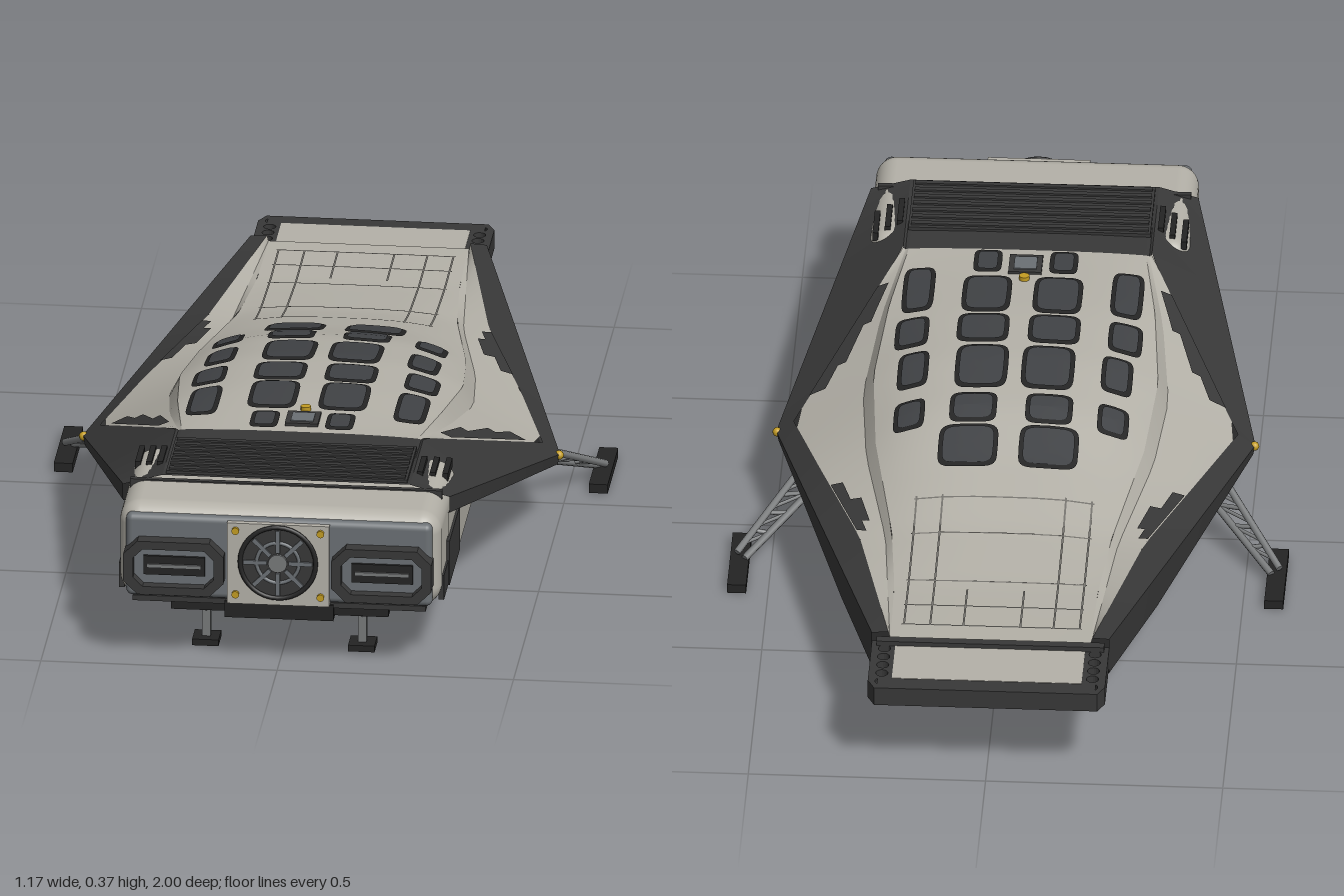
import * as THREE from 'three';
import { RoundedBoxGeometry } from 'three/addons/geometries/RoundedBoxGeometry.js';

const M = (name, color, side = THREE.FrontSide) => {
  const m = new THREE.MeshStandardMaterial({ color, side });
  m.name = name;
  return m;
};
const V = (x, y, z) => new THREE.Vector3(x, y, z);

// A rail is a line along the hull, given by a few [z, x, y] knots from front to rear
const rail = (...k) => (z) => {
  let i = 0;
  while (i < k.length - 2 && z < k[i + 1][0]) i++;
  const [a, b] = [k[i], k[i + 1]];
  const t = (z - a[0]) / (b[0] - a[0]);
  return [a[1] + (b[1] - a[1]) * t, a[2] + (b[2] - a[2]) * t];
};
const crown = rail([0.82, 0, 0.36], [0.5, 0, 0.361], [0.3, 0, 0.366], [0.12, 0, 0.361], [-0.05, 0, 0.34], [-0.2, 0, 0.298], [-0.4, 0, 0.255], [-0.6, 0, 0.236], [-0.82, 0, 0.238]);
const shoulder = rail([0.82, 0.25, 0.36], [0.55, 0.25, 0.356], [0.35, 0.28, 0.338], [0.12, 0.3, 0.305], [-0.1, 0.283, 0.272], [-0.4, 0.232, 0.24], [-0.6, 0.215, 0.234], [-0.82, 0.21, 0.238]);
const foot = rail([0.82, 0.257, 0.36], [0.55, 0.257, 0.354], [0.35, 0.297, 0.31], [0.12, 0.322, 0.262], [-0.1, 0.303, 0.24], [-0.4, 0.245, 0.224], [-0.82, 0.212, 0.238]);
const rimIn = rail([0.82, 0.262, 0.36], [0.55, 0.262, 0.358], [0.12, 0.468, 0.185], [-0.1, 0.4, 0.206], [-0.4, 0.3, 0.226], [-0.82, 0.215, 0.25]);
const rimTop = rail([0.82, 0.345, 0.336], [0.12, 0.505, 0.16], [-0.82, 0.25, 0.248]);
const rimLow = rail([0.82, 0.345, 0.3], [0.12, 0.5, 0.137], [-0.5, 0.333, 0.137], [-0.82, 0.25, 0.165]);
const wallTop = rail([0.82, 0.342, 0.3], [0.16, 0.342, 0.146], [0.12, 0.49, 0.136], [-0.5, 0.32, 0.134], [-0.82, 0.24, 0.164]);
const wallLow = rail([0.82, 0.342, 0.135], [0.16, 0.342, 0.135], [0.12, 0.485, 0.134], [-0.5, 0.315, 0.133], [-0.82, 0.235, 0.163]);
const belly = rail([0.82, 0, 0.132], [-0.5, 0, 0.13], [-0.82, 0, 0.163]);

// Height of the canopy and deck at any point
function deckY(x, z) {
  const [w, yb] = shoulder(z), ya = crown(z)[1];
  return yb + (ya - yb) * (1 - Math.min(1, Math.abs(x) / w) ** 3);
}

export function createModel() {
  const root = new THREE.Group();
  const D = THREE.DoubleSide;
  const light = M('hull light', 0xb4b1a8, D), dark = M('armour dark', 0x383838, D), black = M('underside black', 0x242424, D);
  const panel = M('engine panel grey', 0x6b7074), glass = M('window glass', 0x404245, D), metal = M('gear metal', 0x77797a);
  const yellow = M('marker yellow', 0xc39c22), line = M('panel line', 0x75736e, D);

  const add = (name, geo, mat, x = 0, y = 0, z = 0) => {
    const m = new THREE.Mesh(geo, mat);
    m.name = name;
    m.position.set(x, y, z);
    root.add(m);
    return m;
  };
  const box = (name, mat, w, h, d, x, y, z) => add(name, new THREE.BoxGeometry(w, h, d), mat, x, y, z);
  const beam = (name, mat, a, b, r) => {
    const m = add(name, new THREE.CylinderGeometry(r, r, a.distanceTo(b), 8), mat);
    m.position.copy(a).add(b).multiplyScalar(0.5);
    m.quaternion.setFromUnitVectors(V(0, 1, 0), b.clone().sub(a).normalize());
  };
  // Grid surface from f(u, v); u runs outwards, v runs towards the front
  const sheet = (name, mat, f, nu, nv, flip = false) => {
    const p = [], idx = [];
    for (let j = 0; j <= nv; j++) for (let i = 0; i <= nu; i++) p.push(...f(i / nu, j / nv));
    for (let j = 0; j < nv; j++) for (let i = 0; i < nu; i++) {
      const a = j * (nu + 1) + i, b = a + 1, c = a + nu + 1, d = c + 1;
      if (flip) idx.push(a, b, c, b, d, c);
      else idx.push(a, c, b, b, c, d);
    }
    const g = new THREE.BufferGeometry();
    g.setAttribute('position', new THREE.Float32BufferAttribute(p, 3));
    g.setIndex(idx);
    g.computeVertexNormals();
    add(name, g, mat);
  };
  // Mirrored band between two rails, optionally only a part of its width
  const band = (name, mat, ra, rb, z0, z1, n = 24, u0 = 0, u1 = 1, lift = 0) => {
    for (const s of [1, -1]) sheet(name, mat, (u, v) => {
      const z = z0 + (z1 - z0) * v, a = ra(z), b = rb(z), t = u0 + (u1 - u0) * u;
      return [s * (a[0] + (b[0] - a[0]) * t), a[1] + (b[1] - a[1]) * t + lift, z];
    }, 1, n, s < 0);
  };

  // Deck, canopy and roof
  for (const [name, mat, z0, z1] of [['canopyDeck', light, -0.82, 0.55], ['roof', dark, 0.55, 0.82]]) {
    sheet(name, mat, (u, v) => {
      const z = z0 + (z1 - z0) * v, x = (2 * u - 1) * shoulder(z)[0];
      return [x, deckY(x, z), z];
    }, 24, 40);
    band(name + 'Edge', mat, shoulder, foot, z0, z1);
    band(name + 'Slope', mat, foot, rimIn, z0, z1);
  }
  // Armour rim, its overhang, hull walls and belly
  band('rimTop', dark, rimIn, rimTop, -0.82, 0.12);
  band('rimTopFront', dark, rimIn, rimTop, 0.12, 0.82);
  band('rimEdge', dark, rimTop, rimLow, -0.82, 0.12);
  band('rimEdgeFront', dark, rimTop, rimLow, 0.12, 0.82);
  band('rimOverhang', black, rimLow, wallTop, -0.82, 0.82, 41);
  band('hullWall', light, wallTop, wallLow, 0.16, 0.82);
  band('hullWallRear', dark, wallTop, wallLow, -0.82, 0.16);
  band('belly', black, wallLow, belly, -0.82, 0.82, 41);
  // Stepped armour patches on the slopes
  for (const [z0, z1, u0] of [[-0.38, -0.3, 0.65], [-0.34, -0.25, 0.4], [-0.25, -0.18, 0.7], [0.18, 0.26, 0.72], [0.24, 0.36, 0.55], [0.34, 0.45, 0.3]])
    band('armourPatch', dark, foot, rimIn, z0, z1, 3, u0, 1, 0.004);

  // Roof slats and shoulder vents
  box('roofPanel', dark, 0.51, 0.008, 0.19, 0, 0.362, 0.715);
  for (let i = 0; i < 7; i++) box('roofSlat', dark, 0.5, 0.006, 0.012, 0, 0.367, 0.635 + i * 0.027);
  box('roofLip', dark, 0.66, 0.03, 0.012, 0, 0.334, 0.815);
  for (const s of [1, -1]) for (let i = 0; i < 3; i++)
    box('shoulderVent', black, 0.012, 0.02, 0.09, s * (0.275 + i * 0.025), 0.35 - i * 0.007, 0.7 - i * 0.015);

  // Canopy windows: rounded panes in dark frames laid on the canopy
  const pane = (name, mat, cx, cz, w, h, lift) => sheet(name, mat, (u, v) => {
    const a = -v * Math.PI * 2, c = Math.cos(a), s = Math.sin(a);
    const x = cx + w * u * Math.sign(c) * Math.abs(c) ** 0.4, z = cz + h * u * Math.sign(s) * Math.abs(s) ** 0.4;
    return [x, deckY(x, z) + lift, z];
  }, 3, 28, true);
  const panes = [[0.085, -0.16, 0.063, 0.06], [0.08, -0.05, 0.05, 0.045], [0.07, 0.085, 0.056, 0.075], [0.075, 0.225, 0.055, 0.055], [0.075, 0.36, 0.052, 0.075],
    [0.08, 0.495, 0.03, 0.045], [0.215, -0.055, 0.033, 0.045], [0.215, 0.09, 0.033, 0.06], [0.225, 0.225, 0.036, 0.055], [0.22, 0.385, 0.034, 0.085]];
  for (const s of [1, -1]) for (const [x, z, w, h] of panes) {
    pane('windowFrame', black, s * x, z, w, h, 0.004);
    pane('window', glass, s * x, z, w - 0.009, h - 0.009, 0.007);
  }
  box('roofHatch', dark, 0.07, 0.008, 0.07, 0, 0.364, 0.485);
  box('roofHatchGlass', panel, 0.048, 0.008, 0.048, 0, 0.366, 0.485);
  add('roofMarker', new THREE.CylinderGeometry(0.011, 0.011, 0.01, 12), yellow, 0, 0.367, 0.43);

  // Panel lines on the rear deck
  const strip = (x0, x1, z0, z1) => sheet('panelLine', line, (u, v) => {
    const x = x0 + (x1 - x0) * u, z = z0 + (z1 - z0) * v;
    return [x, deckY(x, z) + 0.002, z];
  }, 6, 12);
  for (const z of [-0.77, -0.69, -0.59, -0.42, -0.31]) strip(-0.19, 0.19, z, z + 0.004);
  for (const s of [1, -1]) for (const x of [0.06, 0.13, 0.185]) strip(s * x - 0.002, s * x + 0.002, -0.77, x === 0.06 ? -0.62 : -0.3);

  // Narrow rear ramp with perforated side rails
  box('rampBulkhead', dark, 0.48, 0.066, 0.02, 0, 0.2, -0.82);
  box('rampPlate', light, 0.4, 0.032, 0.14, 0, 0.207, -0.89);
  box('rampUnderside', black, 0.4, 0.01, 0.17, 0, 0.186, -0.9);
  box('rampEnd', dark, 0.46, 0.042, 0.042, 0, 0.201, -0.979);
  for (const s of [1, -1]) {
    const sh = new THREE.Shape([[0.195, 0.81], [0.25, 0.81], [0.25, 0.97], [0.235, 1], [0.195, 1]].map(([x, y]) => new THREE.Vector2(s * x, y)));
    for (let i = 0; i < 5; i++) sh.holes.push(new THREE.Path().absarc(s * 0.222, 0.84 + i * 0.033, 0.013, 0, Math.PI * 2));
    add('rampRail', new THREE.ExtrudeGeometry(sh, { depth: 0.042, bevelEnabled: false, curveSegments: 8 }), dark, 0, 0.18, 0).rotation.x = -Math.PI / 2;
  }

  // Engine block
  add('engineBlock', new RoundedBoxGeometry(0.68, 0.212, 0.36, 5, 0.045), light, 0, 0.24, 0.785);
  add('enginePanel', new RoundedBoxGeometry(0.648, 0.186, 0.03, 4, 0.014), panel, 0, 0.236, 0.955);
  box('engineSill', dark, 0.62, 0.012, 0.3, 0, 0.136, 0.81);
  const octagon = (C, w, h, c) => new C([[-w, -h + c], [-w + c, -h], [w - c, -h], [w, -h + c], [w, h - c], [w - c, h], [-w + c, h], [-w, h - c]].map(([x, y]) => new THREE.Vector2(x, y)));
  const extrude = (sh, depth) => new THREE.ExtrudeGeometry(sh, { depth, bevelEnabled: false });
  for (const s of [1, -1]) {
    box('sideArmour', dark, 0.012, 0.1, 0.2, s * 0.341, 0.19, 0.73);
    box('sideArmourStep', dark, 0.012, 0.055, 0.09, s * 0.338, 0.168, 0.87);
    const ring = octagon(THREE.Shape, 0.106, 0.06, 0.03);
    ring.holes.push(octagon(THREE.Path, 0.085, 0.042, 0.02));
    add('nozzleRing', extrude(ring, 0.045), dark, s * 0.22, 0.22, 0.955);
    add('nozzlePlate', extrude(octagon(THREE.Shape, 0.086, 0.043, 0.02), 0.012), panel, s * 0.22, 0.22, 0.965);
    box('nozzleSlot', black, 0.13, 0.042, 0.008, s * 0.22, 0.22, 0.979);
    box('nozzleBar', metal, 0.115, 0.008, 0.008, s * 0.22, 0.22, 0.984);
    for (const y of [0.162, 0.306]) add('bolt', new THREE.CylinderGeometry(0.008, 0.008, 0.008, 10), yellow, s * 0.09, y, 0.984).rotation.x = Math.PI / 2;
    add('wingTipLight', new THREE.SphereGeometry(0.01, 10, 8), yellow, s * 0.503, 0.158, 0.12);
  }
  // Central fan
  box('fanPlate', light, 0.216, 0.182, 0.03, 0, 0.231, 0.966);
  add('fanDisc', new THREE.CylinderGeometry(0.083, 0.083, 0.008, 32), dark, 0, 0.238, 0.983).rotation.x = Math.PI / 2;
  add('fanRim', new THREE.TorusGeometry(0.08, 0.005, 8, 36), black, 0, 0.238, 0.987);
  add('fanInnerRing', new THREE.TorusGeometry(0.045, 0.004, 8, 32), panel, 0, 0.238, 0.987);
  add('fanHub', new THREE.CylinderGeometry(0.02, 0.02, 0.014, 20), metal, 0, 0.238, 0.986).rotation.x = Math.PI / 2;
  for (let i = 0; i < 8; i++) {
    const a = (i * Math.PI) / 4;
    box('fanSpoke', panel, 0.05, 0.009, 0.006, Math.cos(a) * 0.048, 0.238 + Math.sin(a) * 0.048, 0.988).rotation.z = a;
  }

  // Keel and belly grilles
  box('keel', black, 0.23, 0.036, 0.86, 0, 0.12, 0.535);
  box('keelWing', black, 0.46, 0.024, 0.22, 0, 0.122, 0.84);
  // Landing gear
  for (const s of [1, -1]) {
    box('bellyGrille', dark, 0.12, 0.008, 0.12, s * 0.2, 0.129, 0.33);
    const x = s * 0.165;
    box('frontPost', metal, 0.018, 0.11, 0.018, x, 0.07, 0.85);
    box('frontFoot', black, 0.056, 0.014, 0.056, x, 0.007, 0.85);
    for (const t of [1, -1]) beam('frontBrace', metal, V(x, 0.07, 0.85), V(x, 0.118, 0.85 + t * 0.05), 0.005);
    const a = V(s * 0.36, 0.132, 0.07), b = V(s * 0.44, 0.137, 0.03), c = V(s * 0.555, 0.022, -0.17), d = V(s * 0.572, 0.03, -0.16);
    beam('rearLegBeam', metal, a, c, 0.008);
    beam('rearLegBeam', metal, b, d, 0.008);
    for (const t of [0.15, 0.35, 0.55, 0.75]) {
      beam('rearLegRung', metal, a.clone().lerp(c, t), b.clone().lerp(d, t), 0.005);
      beam('rearLegTie', metal, a.clone().lerp(c, t), b.clone().lerp(d, t + 0.15), 0.004);
    }
    box('rearFoot', black, 0.04, 0.02, 0.21, s * 0.566, 0.01, -0.17);
  }
  return root;
}
